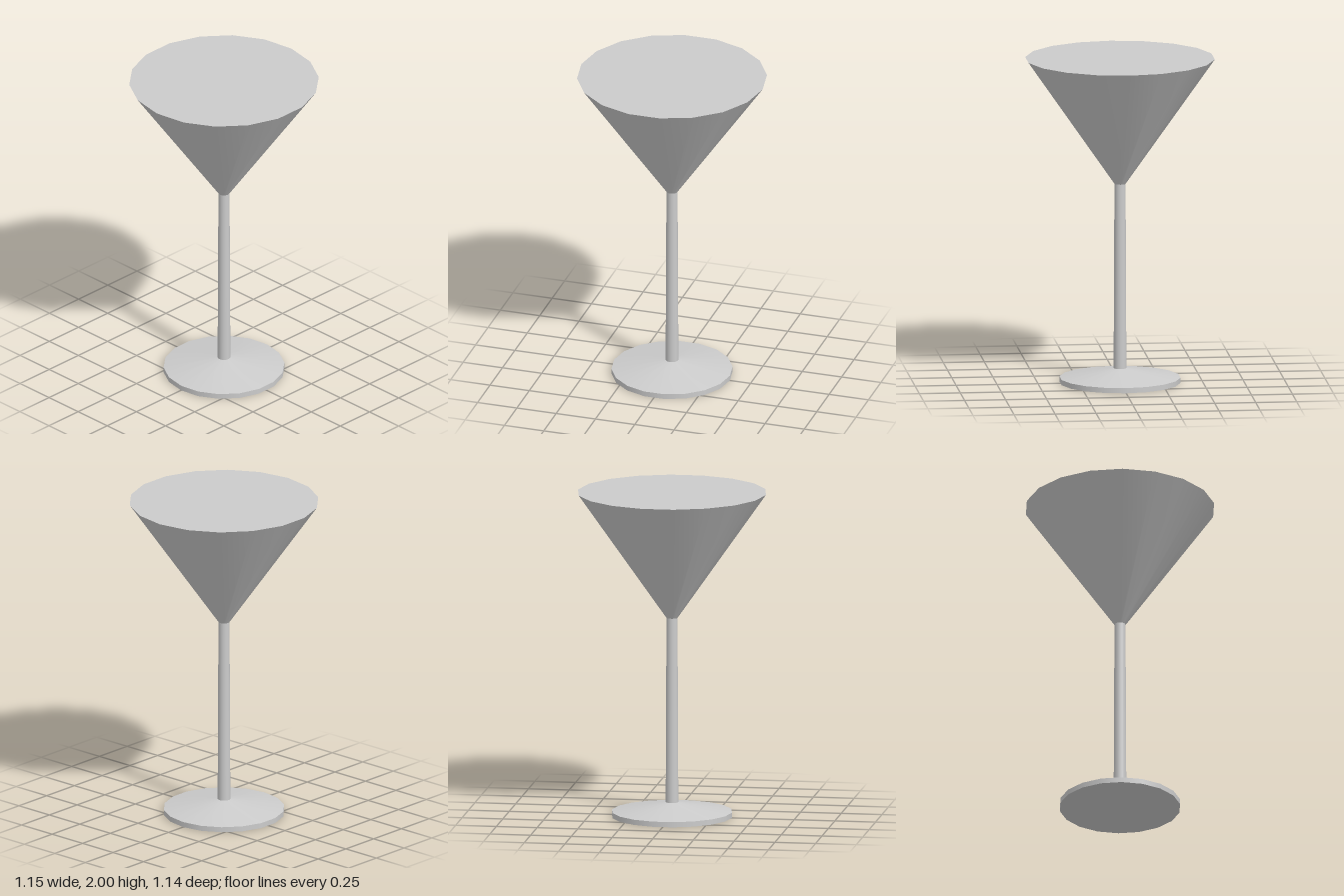
import * as THREE from 'three';

const SIDES = 18;
const material = new THREE.MeshStandardMaterial({ color: 0xcccccc });

// Smooth-sided ring between two heights, with a corner on the x axis
function ring(name, rBottom, rTop, y0, y1) {
  const geometry = new THREE.CylinderGeometry(
    rTop, rBottom, y1 - y0, SIDES, 1, true, Math.PI / 2);
  geometry.translate(0, (y0 + y1) / 2, 0);
  const mesh = new THREE.Mesh(geometry, material);
  mesh.name = name;
  return mesh;
}

// Flat disc facing up (dir = 1) or down (dir = -1)
function disc(name, radius, y, dir) {
  const geometry = new THREE.CircleGeometry(radius, SIDES);
  geometry.rotateX(-dir * Math.PI / 2);
  geometry.translate(0, y, 0);
  const mesh = new THREE.Mesh(geometry, material);
  mesh.name = name;
  return mesh;
}

export function createModel() {
  const glass = new THREE.Group();
  glass.name = 'cocktailGlass';

  // Foot: flat underside, thin rim and shallow cone
  const foot = new THREE.Group();
  foot.name = 'foot';
  foot.add(
    disc('footUnderside', 0.368, 0, -1),
    ring('footRim', 0.368, 0.368, 0, 0.032),
    ring('footSlope', 0.368, 0.039, 0.032, 0.088));

  // Stem: slightly tapered towards the bowl
  const stem = ring('stem', 0.039, 0.034, 0.088, 1.225);

  // Bowl: wide cone, filled level to the brim
  const bowl = new THREE.Group();
  bowl.name = 'bowl';
  bowl.add(
    ring('bowlSide', 0.034, 0.577, 1.225, 2),
    disc('bowlTop', 0.577, 2, 1));

  glass.add(foot, stem, bowl);
  return glass;
}
